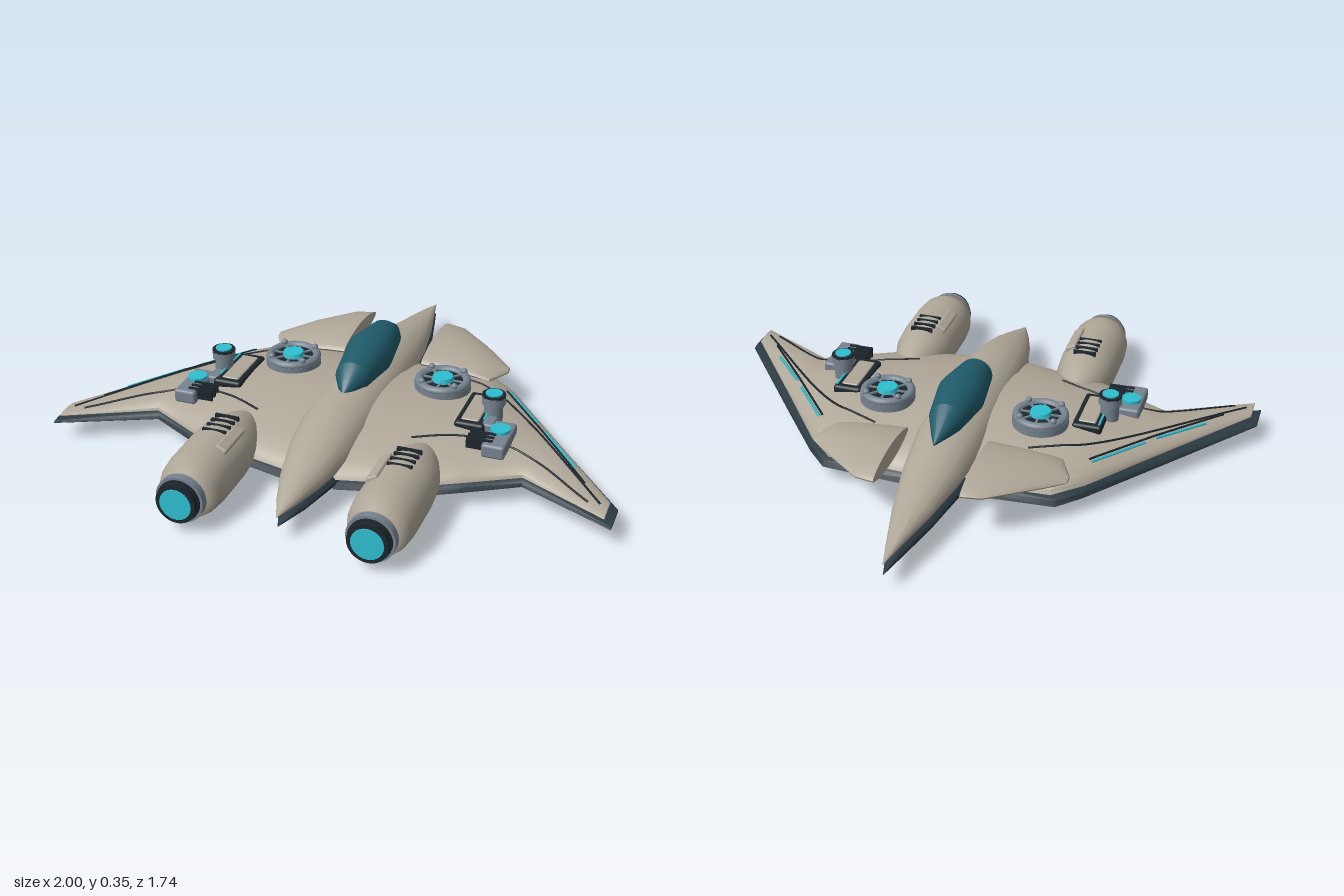
import * as THREE from 'three';
import { toCreasedNormals } from 'three/addons/utils/BufferGeometryUtils.js';
import { RoundedBoxGeometry } from 'three/addons/geometries/RoundedBoxGeometry.js';

const mat = (name, color) => Object.assign(new THREE.MeshStandardMaterial({ color }), { name });
const M = {
  hull: mat('hull tan', 0xb0a899),
  under: mat('underside slate', 0x2b3a42),
  dark: mat('trim black', 0x1c262c),
  metal: mat('metal grey', 0x76838f),
  canopy: mat('canopy teal', 0x1f5b6a),
  glow: mat('glow cyan', 0x2fbfd2),
};

function add(parent, name, geometry, material, x = 0, y = 0, z = 0) {
  const mesh = new THREE.Mesh(geometry, material);
  mesh.name = name;
  mesh.position.set(x, y, z);
  parent.add(mesh);
  return mesh;
}

// Closed skin through equal-length rings of [x, y, z] points
function loft(rings, crease = 0.7) {
  const n = rings[0].length, pts = rings.flat(), idx = [];
  for (let i = 0; i < rings.length - 1; i++) {
    for (let j = 0; j < n; j++) {
      const a = i * n + j, b = i * n + (j + 1) % n;
      idx.push(a, b, a + n, b, b + n, a + n);
    }
  }
  [0, rings.length - 1].forEach((r, end) => {
    const c = [0, 1, 2].map(k => rings[r].reduce((s, p) => s + p[k], 0) / n);
    const ci = pts.push(c) - 1;
    for (let j = 0; j < n; j++) {
      const a = r * n + j, b = r * n + (j + 1) % n;
      idx.push(ci, end ? a : b, end ? b : a);
    }
  });
  // Turn the faces outward when the enclosed volume is negative
  const v = pts.map(p => new THREE.Vector3(...p));
  let volume = 0;
  for (let i = 0; i < idx.length; i += 3) {
    volume += v[idx[i]].dot(v[idx[i + 1]].clone().cross(v[idx[i + 2]]));
  }
  if (volume < 0) idx.reverse();
  const g = new THREE.BufferGeometry().setFromPoints(v);
  g.setIndex(idx);
  return toCreasedNormals(g, crease);
}

// Spindle along z from rows of [z, halfWidth, centreY, up, down]
const spindle = (rows, sides, crease) => loft(rows.map(([z, w, cy, up, down]) =>
  Array.from({ length: sides }, (_, i) => {
    const a = i / sides * Math.PI * 2, s = Math.sin(a);
    return [w * Math.cos(a), cy + s * (s > 0 ? up : down), z];
  })), crease);

// Wing stations: [x, leading z, trailing z, base y, crown height]
const UPPER = [[0.08, -0.34, 0.52, 0.085, 0.115], [0.4, -0.33, 0.45, 0.09, 0.1], [0.5, -0.24, 0.4, 0.092, 0.085],
  [0.67, -0.02, 0.31, 0.095, 0.055], [0.975, 0.37, 0.472, 0.1, 0.008]];
const LOWER = [[0.08, -0.36, 0.525, 0.05, 0.07], [0.42, -0.345, 0.445, 0.055, 0.06], [0.5, -0.265, 0.405, 0.057, 0.055],
  [0.67, -0.055, 0.315, 0.062, 0.04], [1, 0.36, 0.478, 0.07, 0.008]];
const CANARD = [[0.15, -0.555, -0.2, 0.178, 0.037], [0.22, -0.54, -0.2, 0.175, 0.037], [0.34, -0.44, -0.2, 0.165, 0.03],
  [0.41, -0.375, -0.2, 0.155, 0.02], [0.455, -0.33, -0.29, 0.15, 0.006]];

const crown = (t, power) => Math.pow(Math.max(0, Math.sin(Math.PI * t)), power);

function wing(stations, power, belly) {
  const N = 14;
  return loft(stations.map(([x, z0, z1, y, h]) => {
    const ring = [];
    for (let i = 0; i < 2 * N; i++) {
      const u = i <= N ? i / N : 2 - i / N;
      const t = (1 - Math.cos(Math.PI * u)) / 2;
      const edge = crown(t, power) * h;
      ring.push([x, y + (i <= N ? edge + 0.002 : -edge * belly), z0 + (z1 - z0) * t]);
    }
    return ring;
  }));
}

// Height of the upper wing skin
function topY(x, z) {
  let i = 0;
  while (i < UPPER.length - 2 && x > UPPER[i + 1][0]) i++;
  const a = UPPER[i], b = UPPER[i + 1], k = (x - a[0]) / (b[0] - a[0]);
  const [z0, z1, y, h] = [1, 2, 3, 4].map(j => a[j] + (b[j] - a[j]) * k);
  return y + 0.002 + h * crown(THREE.MathUtils.clamp((z - z0) / (z1 - z0), 0, 1), 0.55);
}

// Thin line lying on the upper wing skin
function seam(parent, name, path, radius, material) {
  const flat = new THREE.CatmullRomCurve3(path.map(([x, z]) => new THREE.Vector3(x, 0, z)));
  const pts = flat.getPoints(24).map(p => p.setY(topY(p.x, p.z) + 0.001));
  add(parent, name, new THREE.TubeGeometry(new THREE.CatmullRomCurve3(pts), 40, radius, 6), material);
}

const disc = (r, h, r2 = r) => new THREE.CylinderGeometry(r2, r, h, 28);
const zLathe = pts => new THREE.LatheGeometry(pts.map(([z, r]) => new THREE.Vector2(r, z)), 32).rotateX(Math.PI / 2);

// Reflected copy of a half, with triangle order reversed
function mirrored(half) {
  const out = new THREE.Group();
  half.updateMatrixWorld(true);
  half.traverse(o => {
    if (!o.isMesh) return;
    const src = o.geometry.index ? o.geometry.toNonIndexed() : o.geometry.clone();
    src.applyMatrix4(o.matrixWorld);
    const g = new THREE.BufferGeometry();
    for (const key of ['position', 'normal']) {
      const from = src.attributes[key].array, to = new Float32Array(from.length);
      for (let v = 0; v < from.length / 3; v++) {
        const w = v - (v % 3) + 2 - (v % 3);
        to.set([-from[w * 3], from[w * 3 + 1], from[w * 3 + 2]], v * 3);
      }
      g.setAttribute(key, new THREE.BufferAttribute(to, 3));
    }
    add(out, o.name, g, o.material);
  });
  return out;
}

function buildHalf() {
  const half = new THREE.Group();
  // Layered wing and forward canard
  add(half, 'upperWing', wing(UPPER, 0.55, 0.1), M.hull);
  add(half, 'lowerWing', wing(LOWER, 0.35, 0.05), M.under);
  add(half, 'canard', wing(CANARD, 0.6, 0.9), M.hull);

  // Panel seams and light strips
  seam(half, 'frontSeam', [[0.28, -0.18], [0.45, -0.11], [0.6, 0.02], [0.95, 0.41]], 0.004, M.dark);
  seam(half, 'rearSeam', [[0.28, 0.305], [0.38, 0.26], [0.5, 0.225], [0.65, 0.235], [0.91, 0.41]], 0.004, M.dark);
  seam(half, 'edgeSeam', [[0.49, -0.16], [0.66, 0.05], [0.88, 0.32]], 0.004, M.dark);
  seam(half, 'innerLight', [[0.5, -0.165], [0.65, 0.02]], 0.005, M.glow);
  seam(half, 'outerLight', [[0.68, 0.06], [0.83, 0.235]], 0.005, M.glow);

  // Round lift fan
  const fan = new THREE.Group();
  fan.name = 'liftFan';
  fan.position.set(0.285, 0.2, -0.035);
  half.add(fan);
  add(fan, 'fanBase', disc(0.1, 0.03), M.metal, 0, 0, 0);
  add(fan, 'fanRing', new THREE.TorusGeometry(0.085, 0.015, 10, 36).rotateX(Math.PI / 2), M.metal, 0, 0.02, 0);
  add(fan, 'fanWell', disc(0.075, 0.008), M.dark, 0, 0.018, 0);
  add(fan, 'fanCore', disc(0.042, 0.025, 0.036), M.glow, 0, 0.026, 0);
  for (let i = 0; i < 8; i++) {
    const a = i * Math.PI / 4;
    const blade = add(fan, 'fanBlade', new THREE.BoxGeometry(0.04, 0.006, 0.008), M.metal,
      Math.cos(a) * 0.058, 0.024, Math.sin(a) * 0.058);
    blade.rotation.y = -a;
    if (i % 2) add(fan, 'fanBolt', new THREE.SphereGeometry(0.012, 10, 8), M.metal, Math.cos(a) * 0.085, 0.036, Math.sin(a) * 0.085);
  }

  // Framed hatch
  add(half, 'hatchFrame', new RoundedBoxGeometry(0.105, 0.04, 0.23, 2, 0.01), M.dark, 0.448, 0.18, 0.085);
  add(half, 'hatchPanel', new RoundedBoxGeometry(0.065, 0.02, 0.185, 2, 0.008), M.hull, 0.445, 0.194, 0.085);
  add(half, 'hatchLight', new THREE.BoxGeometry(0.007, 0.006, 0.17), M.glow, 0.49, 0.201, 0.07);

  // Sensor turret
  add(half, 'turretBase', disc(0.033, 0.07), M.metal, 0.505, 0.2, 0.09);
  add(half, 'turretCollar', disc(0.041, 0.03), M.metal, 0.505, 0.25, 0.09);
  add(half, 'turretRim', disc(0.041, 0.008), M.dark, 0.505, 0.266, 0.09);
  add(half, 'turretLens', disc(0.029, 0.006), M.glow, 0.505, 0.272, 0.09);
  add(half, 'turretFoot', new RoundedBoxGeometry(0.05, 0.04, 0.07, 2, 0.008), M.metal, 0.505, 0.18, 0.15);

  // Power box with cooling fins
  add(half, 'powerBox', new RoundedBoxGeometry(0.08, 0.05, 0.18, 2, 0.01), M.metal, 0.562, 0.17, 0.22);
  add(half, 'powerLens', disc(0.034, 0.012), M.glow, 0.56, 0.2, 0.2);
  for (let i = 0; i < 3; i++) {
    add(half, 'coolingFin', new THREE.BoxGeometry(0.09, 0.04, 0.01), M.dark, 0.51, 0.18, 0.235 + i * 0.024);
  }

  // Engine nacelle with nozzle
  const engine = new THREE.Group();
  engine.name = 'engine';
  engine.position.set(0.325, 0.111, 0);
  half.add(engine);
  add(engine, 'nacelle', zLathe([[0.25, 0], [0.265, 0.03], [0.31, 0.052], [0.38, 0.082], [0.46, 0.105], [0.54, 0.111],
    [0.7, 0.111], [0.76, 0.105], [0.81, 0.088], [0.812, 0]]), M.hull);
  const ring = (name, r, z0, z1, m) => add(engine, name, disc(r, z1 - z0).rotateX(Math.PI / 2), m, 0, 0, (z0 + z1) / 2);
  ring('nozzleCollar', 0.083, 0.805, 0.838, M.metal);
  ring('nozzleGap', 0.074, 0.838, 0.848, M.dark);
  ring('nozzleRim', 0.07, 0.848, 0.866, M.dark);
  ring('exhaustGlow', 0.055, 0.86, 0.87, M.glow);
  for (let i = 0; i < 4; i++) {
    add(engine, 'nacelleVent', new THREE.BoxGeometry(0.085, 0.02, 0.011), M.dark, 0, 0.101, 0.46 + i * 0.034);
  }
  const strip = add(engine, 'nacelleStrip', new RoundedBoxGeometry(0.042, 0.025, 0.155, 2, 0.008), M.hull, -0.062, 0.091, 0.575);
  strip.rotation.z = 0.5;
  return half;
}

export function createModel() {
  const model = new THREE.Group();
  model.name = 'spacecraft';

  // Fuselage shells
  add(model, 'upperFuselage', spindle([[-0.873, 0.001, 0.1, 0.001, 0.001], [-0.78, 0.024, 0.108, 0.017, 0.015],
    [-0.6, 0.067, 0.118, 0.042, 0.03], [-0.4, 0.104, 0.13, 0.075, 0.05], [-0.2, 0.124, 0.14, 0.1, 0.07],
    [0.05, 0.126, 0.14, 0.105, 0.08], [0.3, 0.121, 0.14, 0.1, 0.08], [0.45, 0.106, 0.132, 0.083, 0.065],
    [0.6, 0.075, 0.12, 0.055, 0.045], [0.72, 0.037, 0.108, 0.025, 0.02], [0.81, 0.001, 0.1, 0.001, 0.001]], 16), M.hull);
  add(model, 'lowerFuselage', spindle([[-0.873, 0.001, 0.06, 0.001, 0.001], [-0.78, 0.025, 0.068, 0.014, 0.02],
    [-0.6, 0.07, 0.078, 0.025, 0.042], [-0.35, 0.115, 0.09, 0.03, 0.066], [0, 0.13, 0.095, 0.03, 0.08],
    [0.3, 0.122, 0.093, 0.03, 0.073], [0.5, 0.096, 0.083, 0.026, 0.053], [0.68, 0.048, 0.07, 0.018, 0.026],
    [0.8, 0.001, 0.06, 0.001, 0.001]], 16), M.under);
  add(model, 'canopy', spindle([[-0.36, 0.004, 0.235, 0.004, 0.004], [-0.32, 0.024, 0.245, 0.022, 0.022],
    [-0.23, 0.062, 0.26, 0.061, 0.06], [-0.06, 0.087, 0.262, 0.086, 0.08], [0.12, 0.062, 0.255, 0.06, 0.06],
    [0.18, 0.03, 0.245, 0.03, 0.03], [0.212, 0.004, 0.235, 0.004, 0.004]], 24, 0.35), M.canopy);

  // Wings, engines and fittings on both sides
  const left = buildHalf();
  left.name = 'leftSide';
  const right = mirrored(left);
  right.name = 'rightSide';
  model.add(left, right);
  return model;
}
